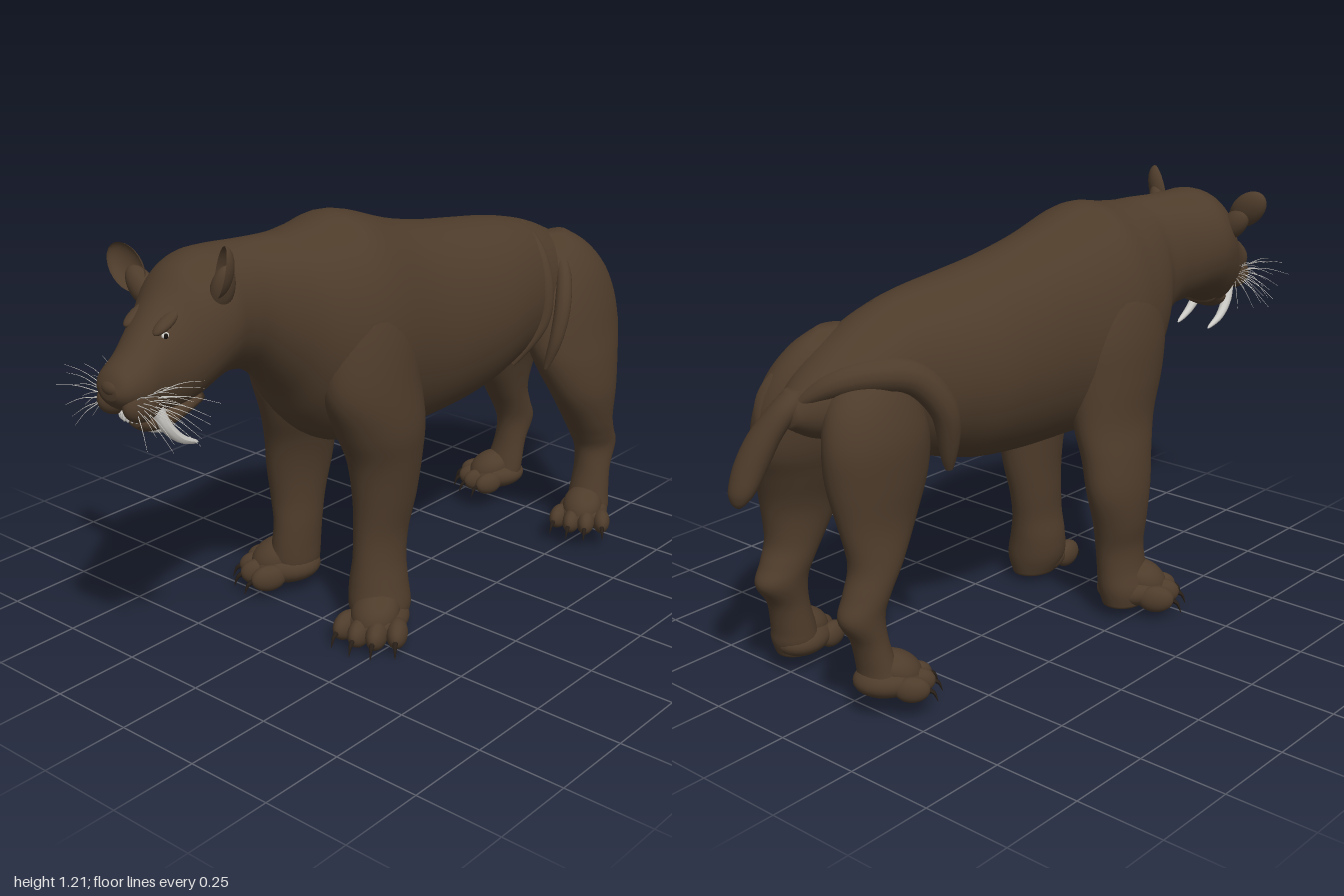
import * as THREE from 'three';

const mat = (name, color) => {
  const m = new THREE.MeshStandardMaterial({ color });
  m.name = name;
  return m;
};
const fur = mat('brown fur', 0x4e3c2b);
const claw = mat('dark claw', 0x281f18);
const ivory = mat('ivory', 0xcfcdc8);
const dark = mat('black', 0x15110e);
const earSkin = fur.clone();
earSkin.name = 'ear skin';
earSkin.side = THREE.DoubleSide;

const V = (p) => new THREE.Vector3(...p);

function add(parent, name, geo, material, pos) {
  const m = new THREE.Mesh(geo, material);
  m.name = name;
  if (pos) m.position.set(...pos);
  parent.add(m);
  return m;
}

// Smooth loft through elliptical rings stacked along x or y.
// Rows: x axis [x, yMin, yMax, zMin, zMax]; y axis [y, xMin, xMax, zMin, zMax]
function loft(rows, axis, sides = 36, steps = 5) {
  rows = [...rows].sort((a, b) => a[0] - b[0]);
  const rings = [];
  const at = (i) => rows[Math.max(0, Math.min(rows.length - 1, i))];
  for (let i = 0; i < rows.length - 1; i++)
    for (let s = 0; s < steps; s++) {
      const t = s / steps;
      rings.push(at(i).map((b, k) => {
        const a = at(i - 1)[k], c = at(i + 1)[k], d = at(i + 2)[k];
        return 0.5 * (2 * b + (c - a) * t + (2 * a - 5 * b + 4 * c - d) * t * t + (3 * b - a - 3 * c + d) * t ** 3);
      }));
    }
  rings.push(at(rows.length - 1));
  const cap = ([u, a, b, c, d]) => [u, (a + b) / 2, (a + b) / 2, (c + d) / 2, (c + d) / 2];
  rings.unshift(cap(rings[0]));
  rings.push(cap(rings[rings.length - 1]));
  const pos = [], idx = [];
  rings.forEach(([u, a, b, c, d], i) => {
    for (let j = 0; j < sides; j++) {
      const t = (j / sides) * Math.PI * 2, C = Math.cos(t), S = Math.sin(t);
      if (axis === 'x') pos.push(u, (a + b) / 2 + ((b - a) / 2) * C, (c + d) / 2 + ((d - c) / 2) * S);
      else pos.push((a + b) / 2 + ((b - a) / 2) * S, u, (c + d) / 2 + ((d - c) / 2) * C);
      if (i === rings.length - 1) continue;
      const n = (j + 1) % sides, p = i * sides, q = p + sides;
      idx.push(p + j, p + n, q + j, p + n, q + n, q + j);
    }
  });
  const g = new THREE.BufferGeometry();
  g.setAttribute('position', new THREE.Float32BufferAttribute(pos, 3));
  g.setIndex(idx);
  g.computeVertexNormals();
  return g;
}

const ball = (rx, ry, rz) => new THREE.SphereGeometry(1, 24, 16).scale(rx, ry, rz);

// Curved tube whose radius follows a function of its length
function taper(points, radius, sides = 10, segs = 24) {
  const curve = new THREE.CatmullRomCurve3(points.map(V));
  const g = new THREE.TubeGeometry(curve, segs, 1, sides);
  const p = g.attributes.position, v = new THREE.Vector3();
  for (let i = 0; i <= segs; i++) {
    const c = curve.getPointAt(i / segs), r = radius(i / segs);
    for (let j = 0; j <= sides; j++) {
      const k = i * (sides + 1) + j;
      v.fromBufferAttribute(p, k).sub(c).multiplyScalar(r).add(c);
      p.setXYZ(k, v.x, v.y, v.z);
    }
  }
  g.computeVertexNormals();
  return g;
}

// Paw with four spread toes and claws, pointing along (dx, dz)
function paw(name, x, y, z, dx, dz, size) {
  const g = new THREE.Group();
  g.name = name;
  add(g, 'pad', ball(0.11, 0.055, 0.088), fur, [-0.005, 0.058, 0]);
  add(g, 'instep', ball(0.085, 0.06, 0.07), fur, [0.02, 0.085, 0]).rotation.z = -0.45;
  for (let i = 0; i < 4; i++) {
    const s = i - 1.5, reach = 0.085 - 0.014 * s * s;
    add(g, 'toe', ball(0.056, 0.042, 0.031), fur, [reach, 0.046, s * 0.051]).rotation.y = -s * 0.15;
    add(g, 'claw', taper([[reach + 0.035, 0.045, s * 0.056], [reach + 0.062, 0.037, s * 0.061],
      [reach + 0.076, 0.005, s * 0.064]], (t) => 0.01 * (1 - t) + 0.001, 6, 6), claw);
  }
  g.position.set(x, y, z);
  g.rotation.y = Math.atan2(-dz, dx);
  g.scale.setScalar(size);
  return g;
}

export function createModel() {
  const model = new THREE.Group();
  model.name = 'sabre toothed cat';

  // Head, neck and trunk in one skin
  add(model, 'body', loft([
    [-0.975, 0.88, 0.915, -0.035, 0.02], [-0.955, 0.855, 0.95, -0.07, 0.045], [-0.9, 0.825, 0.99, -0.09, 0.062],
    [-0.84, 0.8, 1.04, -0.118, 0.062], [-0.78, 0.79, 1.09, -0.15, 0.075], [-0.72, 0.805, 1.145, -0.185, 0.097],
    [-0.65, 0.835, 1.17, -0.205, 0.107], [-0.58, 0.84, 1.172, -0.195, 0.097], [-0.5, 0.82, 1.17, -0.17, 0.1],
    [-0.42, 0.745, 1.17, -0.17, 0.14], [-0.36, 0.65, 1.17, -0.2, 0.18], [-0.28, 0.575, 1.178, -0.225, 0.215],
    [-0.17, 0.54, 1.19, -0.235, 0.235], [0, 0.53, 1.135, -0.195, 0.235], [0.15, 0.535, 1.1, -0.185, 0.245],
    [0.3, 0.555, 1.078, -0.175, 0.25], [0.42, 0.59, 1.062, -0.145, 0.24], [0.52, 0.615, 1.042, -0.11, 0.225],
    [0.62, 0.66, 1.01, -0.09, 0.21], [0.72, 0.71, 0.96, -0.06, 0.19], [0.81, 0.74, 0.9, -0.02, 0.15],
    [0.875, 0.78, 0.84, 0.04, 0.11]], 'x', 48), fur);

  // Lower jaw, muzzle, eyes, fangs and front teeth
  add(model, 'lowerJaw', loft([
    [-0.9, 0.79, 0.815, -0.03, 0.01], [-0.87, 0.77, 0.83, -0.06, 0.035], [-0.8, 0.768, 0.84, -0.085, 0.045],
    [-0.72, 0.8, 0.86, -0.11, 0.05]], 'x', 24), fur);
  for (const s of [-1, 1]) {
    const zc = -0.015 + s * 0.045;
    add(model, 'whiskerPad', ball(0.055, 0.045, 0.035), fur, [-0.905, 0.86, zc]);
    add(model, 'brow', ball(0.045, 0.014, 0.02), fur, [-0.81, 1.037, -0.03 + s * 0.052]).rotation.z = 0.5;
    add(model, 'eye', ball(0.011, 0.008, 0.008), ivory, [-0.825, 1.012, -0.027 + s * 0.062]);
    add(model, 'pupil', ball(0.006, 0.007, 0.005), dark, [-0.828, 1.012, -0.027 + s * 0.067]);
    add(model, 'fang', taper([[-0.862, 0.835, zc], [-0.84, 0.785, zc + s * 0.01], [-0.8, 0.743, zc + s * 0.014],
      [-0.74, 0.714, zc + s * 0.012]], (t) => 0.018 * Math.sqrt(1 - t) + 0.001), ivory);
    for (let i = 0; i < 3; i++)
      add(model, 'frontTooth', ball(0.006, 0.014, 0.005), ivory, [-0.918 + i * 0.004, 0.82, -0.015 + s * (0.006 + i * 0.011)]);
  }
  add(model, 'nose', ball(0.018, 0.02, 0.032), fur, [-0.962, 0.908, -0.008]);

  // Cupped ears: position, yaw, lean, half width
  const ears = [[-0.69, 1.147, 0.09, -0.5, 0.3, 0.036], [-0.725, 1.113, -0.212, 0.35, -0.8, 0.046]];
  for (const [x, y, z, yaw, lean, width] of ears) {
    const bowl = new THREE.SphereGeometry(1, 24, 12, 0, Math.PI * 2, 0, Math.PI / 2)
      .rotateZ(-Math.PI / 2).scale(0.032, 0.07, width);
    const ear = add(model, 'ear', bowl, earSkin, [x, y, z]);
    ear.rotation.set(lean, yaw, 0);
    add(model, 'earBase', ball(0.033, 0.065, width * 0.8), fur, [x + 0.02, y - 0.05, z * 0.82]).rotation.x = lean;
  }

  // Fine pale whiskers fan out from both pads
  for (const s of [-1, 1])
    for (let i = 0; i < 24; i++) {
      const row = i % 4, col = Math.floor(i / 4);
      const a = [-0.94 + col * 0.015, 0.845 + row * 0.014, -0.015 + s * 0.07];
      const len = 0.06 + 0.07 * ((i * 7) % 5) / 4;
      const b = [a[0] - 0.03 + col * 0.02, a[1] - 0.065 + row * 0.03, a[2] + s * len];
      const mid = [(a[0] + b[0]) / 2, (a[1] + b[1]) / 2 + 0.008, (a[2] + b[2]) / 2];
      add(model, 'whisker', taper([a, mid, b], (t) => 0.001 * (1 - t) + 0.0004, 4, 5), ivory);
    }

  // Front legs
  add(model, 'leftSideFrontLeg', loft([
    [1.03, -0.24, -0.14, 0.1, 0.16], [0.97, -0.32, -0.08, 0.06, 0.21], [0.87, -0.36, -0.05, 0.04, 0.24],
    [0.74, -0.37, -0.04, 0.04, 0.255], [0.62, -0.32, -0.03, 0.045, 0.26], [0.52, -0.275, -0.035, 0.06, 0.245],
    [0.4, -0.255, -0.045, 0.072, 0.225], [0.3, -0.25, -0.065, 0.076, 0.208], [0.22, -0.255, -0.08, 0.078, 0.21],
    [0.15, -0.265, -0.085, 0.07, 0.225], [0.08, -0.275, -0.088, 0.075, 0.24], [0.025, -0.25, -0.1, 0.1, 0.22]], 'y'), fur);
  add(model, 'rightSideFrontLeg', loft([
    [1.03, -0.22, -0.12, -0.17, -0.11], [0.95, -0.31, -0.06, -0.225, -0.06], [0.84, -0.35, -0.01, -0.25, -0.04],
    [0.72, -0.34, 0.005, -0.253, -0.04], [0.6, -0.295, 0.005, -0.25, -0.07], [0.5, -0.255, 0, -0.266, -0.105],
    [0.4, -0.235, -0.005, -0.276, -0.125], [0.3, -0.22, -0.035, -0.27, -0.133], [0.22, -0.22, -0.055, -0.256, -0.133],
    [0.15, -0.225, -0.06, -0.262, -0.135], [0.09, -0.225, -0.06, -0.28, -0.138], [0.04, -0.2, -0.07, -0.27, -0.155]], 'y'), fur);
  model.add(paw('leftSideFrontPaw', -0.215, 0, 0.178, -0.93, 0.36, 0.97));
  model.add(paw('rightSideFrontPaw', -0.17, 0.022, -0.225, -0.74, -0.67, 0.95));

  // Hind legs
  add(model, 'leftSideHindLeg', loft([
    [0.985, 0.62, 0.7, 0.11, 0.16], [0.94, 0.575, 0.77, 0.08, 0.215], [0.87, 0.535, 0.83, 0.07, 0.26],
    [0.78, 0.495, 0.865, 0.075, 0.29], [0.68, 0.485, 0.868, 0.09, 0.31], [0.6, 0.505, 0.84, 0.12, 0.325],
    [0.5, 0.555, 0.81, 0.16, 0.332], [0.4, 0.625, 0.8, 0.175, 0.32], [0.34, 0.665, 0.825, 0.18, 0.308],
    [0.29, 0.69, 0.85, 0.185, 0.3], [0.22, 0.69, 0.805, 0.193, 0.305], [0.14, 0.67, 0.79, 0.19, 0.315],
    [0.1, 0.66, 0.788, 0.19, 0.32], [0.06, 0.66, 0.775, 0.205, 0.31]], 'y'), fur);
  add(model, 'rightSideHindLeg', loft([
    [0.91, 0.63, 0.74, -0.06, 0.03], [0.87, 0.59, 0.79, -0.1, 0.045], [0.81, 0.55, 0.83, -0.13, 0.05],
    [0.73, 0.525, 0.85, -0.148, 0.05], [0.63, 0.53, 0.845, -0.145, 0.045], [0.52, 0.58, 0.825, -0.135, 0.01],
    [0.42, 0.65, 0.81, -0.142, -0.015], [0.35, 0.7, 0.835, -0.142, -0.025], [0.29, 0.725, 0.86, -0.138, -0.03],
    [0.22, 0.725, 0.82, -0.14, -0.035], [0.15, 0.71, 0.805, -0.155, -0.035], [0.11, 0.7, 0.803, -0.165, -0.038],
    [0.075, 0.7, 0.79, -0.155, -0.05]], 'y'), fur);
  model.add(paw('leftSideHindPaw', 0.69, 0.042, 0.26, -0.92, 0.4, 0.86));
  model.add(paw('rightSideHindPaw', 0.73, 0.055, -0.115, -0.83, -0.56, 0.84));

  // Loose skin folds around the hips
  const folds = [
    [[0.85, 0.84, 0.05], [0.79, 0.885, -0.01], [0.7, 0.9, -0.07], [0.61, 0.88, -0.115], [0.545, 0.79, -0.15], [0.515, 0.62, -0.135]],
    [[0.545, 1.03, 0.09], [0.515, 0.96, 0.175], [0.5, 0.87, 0.215], [0.485, 0.76, 0.218], [0.42, 0.63, 0.165]],
    [[0.66, 0.965, 0.11], [0.6, 0.9, 0.205], [0.545, 0.81, 0.25], [0.51, 0.71, 0.255], [0.495, 0.61, 0.23]],
    [[0.7, 0.945, 0.09], [0.78, 0.89, 0.16], [0.83, 0.83, 0.19], [0.85, 0.74, 0.19], [0.83, 0.64, 0.18]],
  ];
  folds.forEach((f, i) => add(model, 'skinFold',
    taper(f, (t) => (i ? 0.024 : 0.043) * Math.sqrt(Math.sin(Math.PI * (0.02 + 0.96 * t))), 12, 32), fur));

  // Short tail
  add(model, 'tail', loft([
    [0.87, 0.82, 0.86, 0.05, 0.1], [0.83, 0.82, 0.905, 0.04, 0.125], [0.76, 0.865, 0.95, 0.065, 0.16],
    [0.69, 0.895, 0.982, 0.085, 0.178], [0.63, 0.93, 1.0, 0.1, 0.178], [0.6, 0.955, 0.998, 0.115, 0.168],
    [0.585, 0.975, 0.99, 0.13, 0.15]], 'y', 24), fur);

  return model;
}
